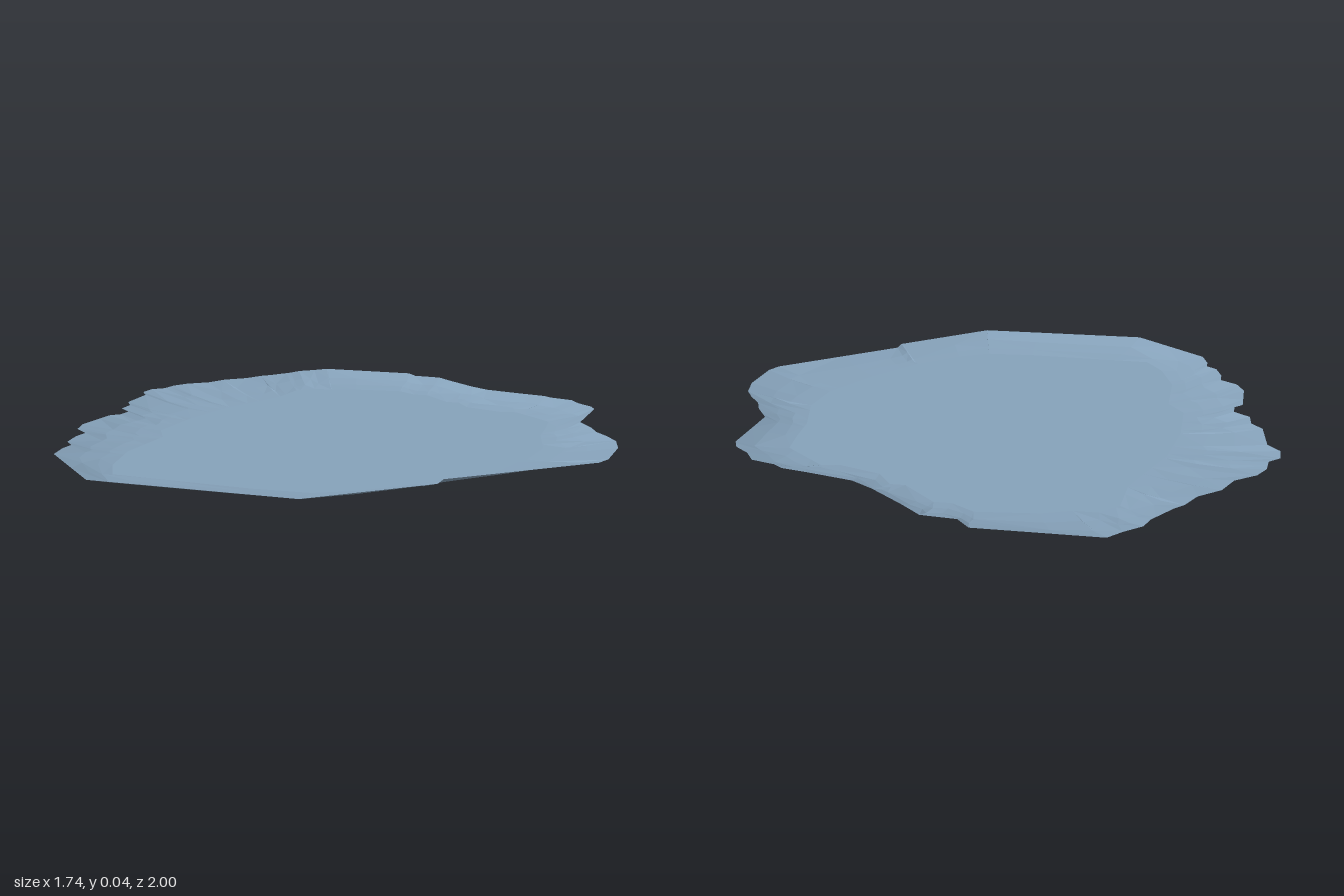
import * as THREE from 'three';

// Shorelines as x, z pairs, running from the back round the left side
const RIM = [
  -0.46, -1, -0.12, -1, -0.08, -0.95, 0.02, -0.94, 0.08, -0.88, 0.19, -0.78, 0.26, -0.73, 0.4, -0.69,
  0.48, -0.67, 0.51, -0.645, 0.585, -0.62, 0.62, -0.565, 0.67, -0.52, 0.69, -0.475, 0.69, -0.23,
  0.74, -0.15, 0.765, -0.09, 0.81, -0.03, 0.845, 0.03, 0.867, 0.125, 0.867, 0.29, 0.85, 0.34,
  0.51, 0.675, 0.51, 0.73, 0.24, 1, -0.35, 1, -0.6, 0.755, -0.62, 0.675, -0.62, 0.63, -0.655, 0.595,
  -0.675, 0.515, -0.675, 0.46, -0.73, 0.415, -0.755, 0.345, -0.755, 0.18, -0.73, 0.15, -0.73, 0.1,
  -0.78, 0.055, -0.785, -0.01, -0.82, -0.06, -0.835, -0.21, -0.872, -0.26, -0.872, -0.325,
  -0.84, -0.36, -0.835, -0.425, -0.81, -0.48, -0.75, -0.535, -0.72, -0.615, -0.66, -0.675,
  -0.63, -0.745, -0.605, -0.775, -0.555, -0.86, -0.54, -0.91, -0.495, -0.955,
];
const FLOOR = [
  -0.46, -0.685, -0.41, -0.745, -0.34, -0.745, -0.26, -0.78, -0.09, -0.8, -0.02, -0.75, 0.03, -0.75,
  0.135, -0.64, 0.18, -0.64, 0.23, -0.565, 0.36, -0.515, 0.415, -0.525, 0.555, -0.395, 0.57, -0.28,
  0.58, -0.16, 0.63, 0.03, 0.62, 0.2, 0.53, 0.41, 0.46, 0.53, 0.415, 0.6, 0.29, 0.73, 0.19, 0.79,
  0.03, 0.8, -0.4, 0.78, -0.46, 0.675, -0.51, 0.5, -0.515, 0.27, -0.57, 0.18, -0.575, -0.035,
  -0.55, -0.26, -0.5, -0.42, -0.465, -0.54,
];
const HEIGHT = 0.037;

const toPoints = (a) => Array.from({ length: a.length / 2 }, (_, i) => new THREE.Vector2(a[2 * i], a[2 * i + 1]));

// Distance from the centre to a shoreline in a given direction
function reach(points, angle) {
  const d = new THREE.Vector2(Math.cos(angle), Math.sin(angle));
  for (let i = 0; i < points.length; i++) {
    const a = points[i], b = points[(i + 1) % points.length];
    const ca = d.cross(a), cb = d.cross(b);
    if (ca <= 1e-9 && cb > 1e-9 && d.dot(a) + d.dot(b) > 0) {
      return d.dot(a.clone().lerp(b, ca / (ca - cb)));
    }
  }
  return points[0].length();
}

function makeNoise(seed) {
  return () => {
    seed = (seed * 16807) % 2147483647;
    return seed / 2147483647 - 0.5;
  };
}

function surface(positions, index) {
  const geometry = new THREE.BufferGeometry();
  geometry.setAttribute('position', new THREE.Float32BufferAttribute(positions, 3));
  geometry.setIndex(index);
  const flat = geometry.toNonIndexed();
  flat.computeVertexNormals();
  return flat;
}

export function createModel() {
  const group = new THREE.Group();
  group.name = 'shallowBasin';
  const material = new THREE.MeshStandardMaterial({ color: 0x86a2ba, flatShading: true, side: THREE.DoubleSide });
  material.name = 'blueGrey';

  const rim = toPoints(RIM), floor = toPoints(FLOOR);
  const angles = [...rim, ...floor].map((p) => Math.atan2(p.y, p.x)).sort((a, b) => a - b);
  const n = angles.length;
  const noise = makeNoise(71);

  // Rings from the floor edge up to the rim: outward share and height share
  const steps = [[0, 0], [0.3, 0.17], [0.63, 0.48], [1, 1]];
  const rings = steps.map(([t, h], k) => angles.map((angle) => {
    const rough = k === 0 || k === 3 ? 0 : 1;
    const inner = reach(floor, angle), outer = reach(rim, angle);
    const r = inner + (outer - inner) * (t + rough * noise() * 0.1);
    return [Math.cos(angle) * r, HEIGHT * (h + rough * noise() * 0.1), Math.sin(angle) * r];
  }));

  // Flat floor, a fan about the centre
  const fan = [];
  for (let i = 0; i < n; i++) fan.push(n, (i + 1) % n, i);
  const bed = new THREE.Mesh(surface([...rings[0], [0, 0, 0]].flat(), fan), material);
  bed.name = 'floor';

  // Sloping bank of rough facets
  const quads = [];
  for (let k = 0; k < rings.length - 1; k++) {
    for (let i = 0; i < n; i++) {
      const j = (i + 1) % n;
      const a = k * n + i, b = k * n + j, c = a + n, d = b + n;
      if ((i + k) % 2) quads.push(a, b, c, b, d, c);
      else quads.push(a, b, d, a, d, c);
    }
  }
  const bank = new THREE.Mesh(surface(rings.flat(2), quads), material);
  bank.name = 'bank';

  group.add(bed, bank);
  return group;
}
